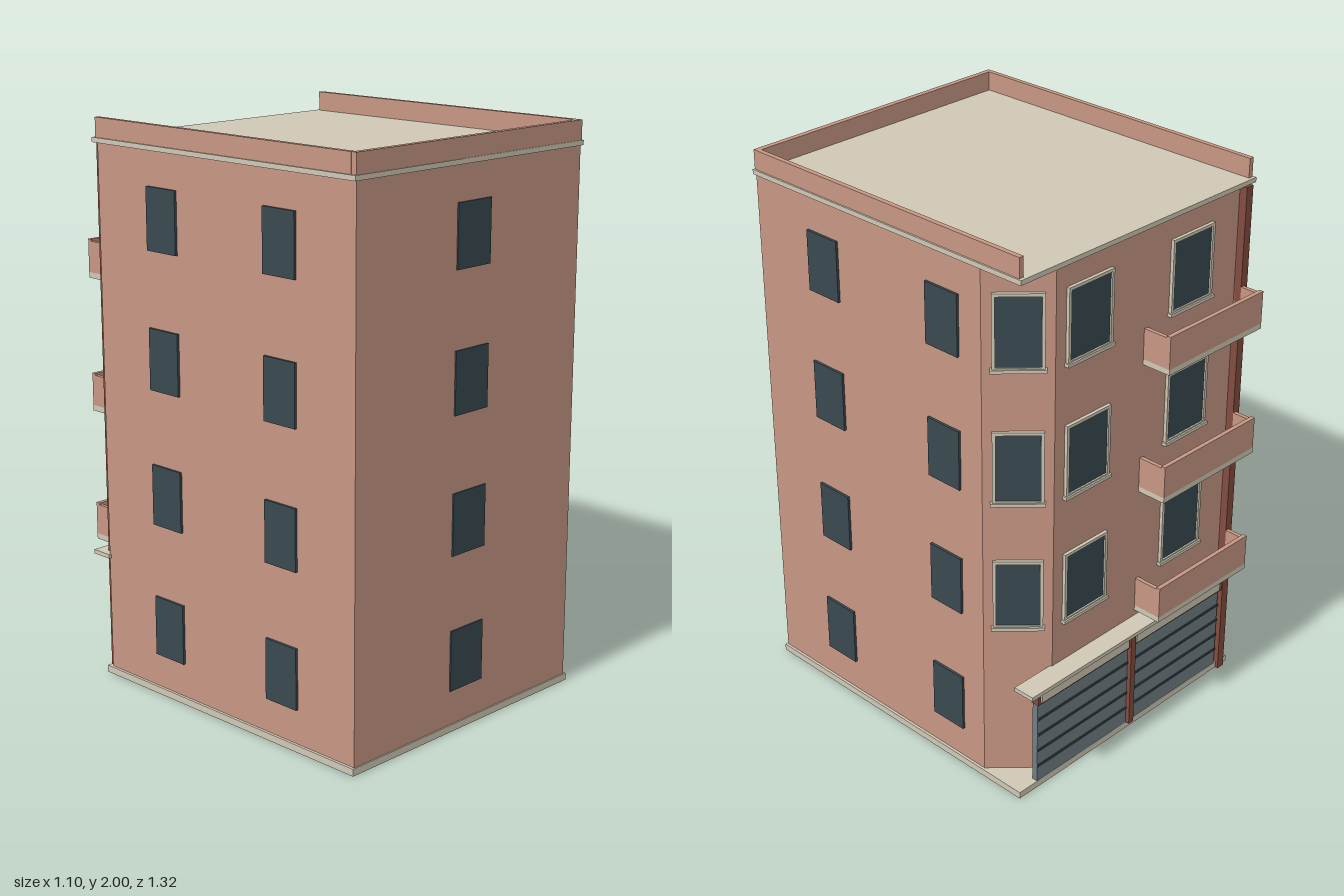
import * as THREE from 'three';

const mat = (name, color) => Object.assign(new THREE.MeshStandardMaterial({ color }), { name });

export function createModel() {
  const brick = mat('brick', 0xc79784);
  const stone = mat('stone', 0xcfc8b5);
  const glass = mat('glass', 0x394a51);
  const trim = mat('red brown trim', 0x824c40);
  const shutter = mat('shutter grey', 0x6f7f84);
  const groove = mat('shutter groove', 0x37444a);

  const model = new THREE.Group();
  model.name = 'apartmentBlock';

  // Box given by its minimum and maximum on each axis
  function box(name, material, x0, x1, y0, y1, z0, z1, parent = model) {
    const mesh = new THREE.Mesh(new THREE.BoxGeometry(x1 - x0, y1 - y0, z1 - z0), material);
    mesh.position.set((x0 + x1) / 2, (y0 + y1) / 2, (z0 + z1) / 2);
    mesh.name = name;
    parent.add(mesh);
    return mesh;
  }

  // Main walls with one chamfered back corner
  const plan = new THREE.Shape([
    [-0.54, -0.655], [0.54, -0.655], [0.54, 0.387], [0.378, 0.547], [-0.54, 0.547],
  ].map(([x, y]) => new THREE.Vector2(x, y)));
  const wallGeo = new THREE.ExtrudeGeometry(plan, { depth: 1.9, bevelEnabled: false });
  wallGeo.rotateX(-Math.PI / 2);
  const walls = new THREE.Mesh(wallGeo, brick);
  walls.position.y = 0.02;
  walls.name = 'walls';
  model.add(walls);

  // Plinth, cornice and roof parapet open at the back
  box('plinth', stone, -0.55, 0.55, 0, 0.025, -0.565, 0.66);
  box('cornice', stone, -0.55, 0.55, 1.915, 1.932, -0.565, 0.66);
  box('frontParapet', brick, -0.543, 0.543, 1.932, 2, 0.637, 0.657);
  for (const s of [-1, 1]) {
    const x = s * 0.535;
    box('sideParapet', brick, x - 0.009, x + 0.009, 1.932, 2, -0.553, 0.637);
  }

  // Plain windows on the front and both sides
  const pitch = 0.478;
  for (let floor = 0; floor < 4; floor++) {
    const y0 = 0.147 + floor * pitch, y1 = y0 + 0.215;
    box('frontWindow', glass, -0.08, 0.08, y0, y1, 0.654, 0.66);
    for (const z of [0.33, -0.222]) {
      box('leftWindow', glass, 0.541, 0.55, y0, y1, z - 0.071, z + 0.071);
      box('rightWindow', glass, -0.55, -0.541, y0, y1, z - 0.071, z + 0.071);
    }
  }

  // Framed window facing local +z, centred on its own origin
  function framedWindow(width, height) {
    const g = new THREE.Group();
    const w = width / 2, h = height / 2, t = 0.011;
    g.name = 'framedWindow';
    box('pane', glass, -w + t, w - t, -h + t, h - t, 0, 0.006, g);
    for (const s of [-1, 1]) {
      box('frameSide', stone, s * (w - t / 2) - t / 2, s * (w - t / 2) + t / 2, -h, h, 0, 0.012, g);
      box('frameRail', stone, -w, w, s * (h - t / 2) - t / 2, s * (h - t / 2) + t / 2, 0, 0.012, g);
    }
    box('sill', stone, -w - 0.006, w + 0.006, -h - 0.006, -h + 0.006, 0, 0.018, g);
    model.add(g);
    return g;
  }

  // Upper floors of the back and chamfer, with balconies
  for (let floor = 0; floor < 3; floor++) {
    const y = 0.745 + floor * pitch;
    for (const x of [0.23, -0.255]) {
      const win = framedWindow(0.205, 0.262);
      win.position.set(x, y, -0.547);
      win.rotation.y = Math.PI;
    }
    const corner = framedWindow(0.165, 0.262);
    corner.position.set(0.459, y, -0.467);
    corner.rotation.y = Math.PI * 0.75;

    const b = 0.475 + floor * pitch;
    const balcony = new THREE.Group();
    balcony.name = 'balcony';
    model.add(balcony);
    box('balconySlab', stone, -0.505, -0.035, b, b + 0.02, -0.657, -0.545, balcony);
    box('balconyFront', brick, -0.505, -0.035, b + 0.02, b + 0.137, -0.657, -0.641, balcony);
    for (const x of [-0.505, -0.05])
      box('balconySide', brick, x, x + 0.015, b + 0.02, b + 0.13, -0.641, -0.545, balcony);
  }

  // Shopfront: two slatted shutters, sign band, posts and canopy
  box('canopy', stone, -0.55, 0.55, 0.438, 0.453, -0.622, -0.54);
  box('signBox', trim, -0.49, 0.47, 0.35, 0.43, -0.573, -0.54);
  box('centrePost', trim, -0.012, 0.012, 0.025, 0.438, -0.58, -0.54);
  for (const [x0, x1] of [[-0.48, -0.012], [0.012, 0.465]]) {
    box('shutter', shutter, x0, x1, 0.025, 0.35, -0.564, -0.542);
    box('signPanel', stone, x0 + 0.008, x1 - 0.008, 0.358, 0.424, -0.578, -0.573);
    for (let i = 1; i <= 4; i++) {
      const y = 0.025 + i * 0.065;
      box('shutterGroove', groove, x0, x1, y - 0.004, y + 0.004, -0.568, -0.564);
    }
  }

  // Full-height corner pilaster
  box('cornerPilaster', trim, -0.522, -0.49, 0, 1.916, -0.576, -0.54);

  return model;
}
